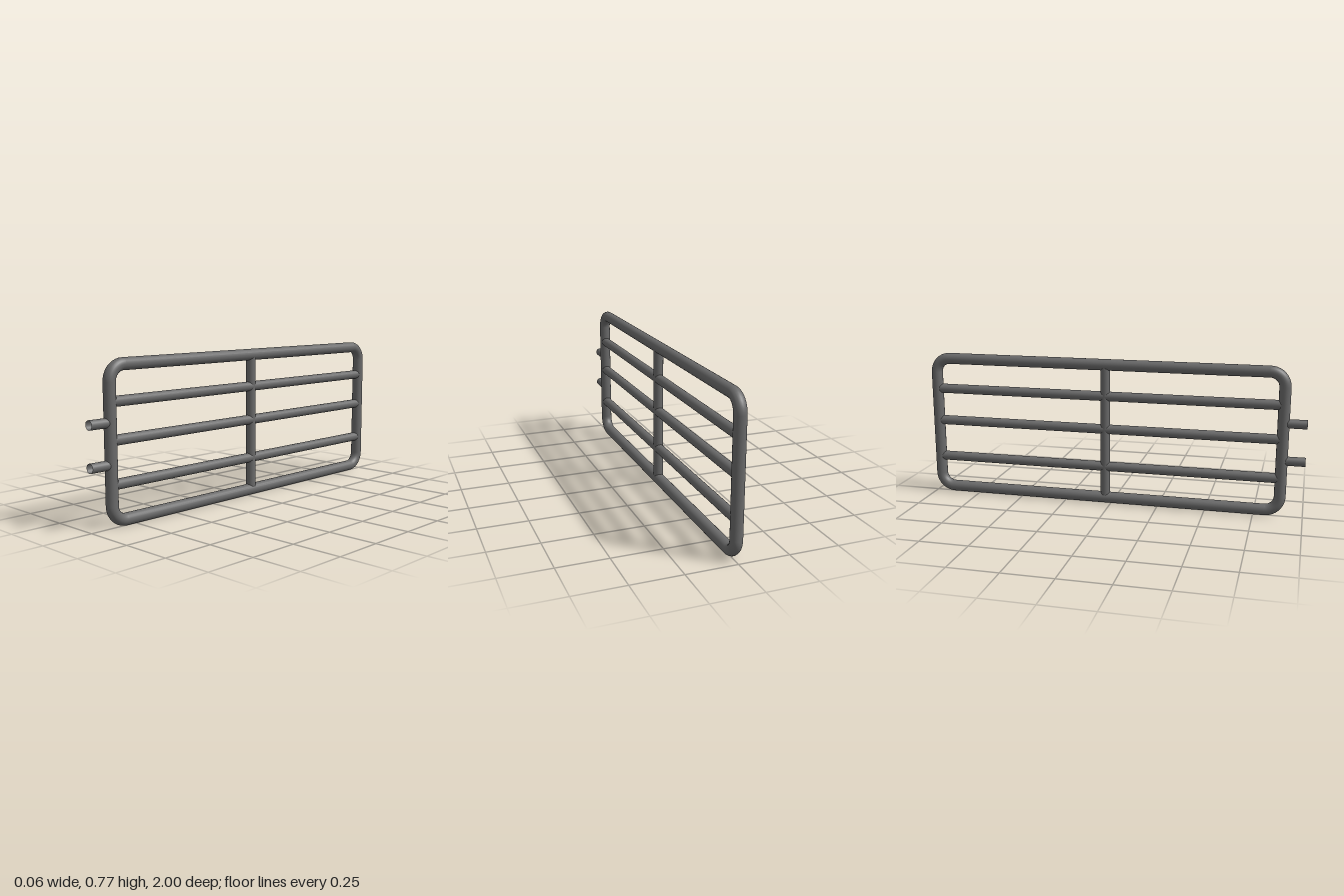
import * as THREE from 'three';

export function createModel() {
  const gate = new THREE.Group();
  gate.name = 'gate';
  const color = 0x6a6a6a;
  const steel = new THREE.MeshStandardMaterial({ color });
  const openSteel = new THREE.MeshStandardMaterial({ color, side: THREE.DoubleSide });

  // Centre line of the outer frame in the z-y plane
  const R = 0.0295, bend = 0.075;
  const z0 = -1 + R, z1 = 0.912 - R, y0 = R, y1 = 0.775 - R;

  // Sweep a ring around the rounded rectangle: each corner arc is followed by a straight run
  const corners = [
    [z1 - bend, y1 - bend, 0], [z0 + bend, y1 - bend, 1],
    [z0 + bend, y0 + bend, 2], [z1 - bend, y0 + bend, 3],
  ];
  const bendSteps = 10, sides = 24;
  const positions = [], normals = [], index = [];
  let rings = 0;
  for (const [cz, cy, quarter] of corners) {
    for (let i = 0; i <= bendSteps; i++, rings++) {
      const a = (quarter + i / bendSteps) * Math.PI / 2;
      for (let j = 0; j <= sides; j++) {
        const b = j / sides * Math.PI * 2;
        const reach = bend + R * Math.cos(b);
        positions.push(R * Math.sin(b), cy + reach * Math.sin(a), cz + reach * Math.cos(a));
        normals.push(Math.sin(b), Math.cos(b) * Math.sin(a), Math.cos(b) * Math.cos(a));
      }
    }
  }
  const row = sides + 1;
  for (let i = 0; i < rings; i++) {
    const n = (i + 1) % rings;
    for (let j = 0; j < sides; j++) {
      const a = i * row + j, b = n * row + j;
      index.push(a, a + 1, b, b, a + 1, b + 1);
    }
  }
  const frameGeometry = new THREE.BufferGeometry();
  frameGeometry.setAttribute('position', new THREE.Float32BufferAttribute(positions, 3));
  frameGeometry.setAttribute('normal', new THREE.Float32BufferAttribute(normals, 3));
  // Wind the faces outwards
  for (let k = 0; k < index.length; k += 3) {
    const [p, q, r] = [0, 1, 2].map(m => new THREE.Vector3().fromArray(positions, index[k + m] * 3));
    const face = q.sub(p).cross(r.sub(p));
    if (face.dot(new THREE.Vector3().fromArray(normals, index[k] * 3)) < 0) {
      [index[k + 1], index[k + 2]] = [index[k + 2], index[k + 1]];
    }
  }
  frameGeometry.setIndex(index);
  const frame = new THREE.Mesh(frameGeometry, steel);
  frame.name = 'outerFrame';
  gate.add(frame);

  // Straight open tube, upright or lying along z
  function tube(name, radius, length, y, z, lying, material) {
    const geometry = new THREE.CylinderGeometry(radius, radius, length, 24, 1, true);
    if (lying) geometry.rotateX(Math.PI / 2);
    const mesh = new THREE.Mesh(geometry, material);
    mesh.name = name;
    mesh.position.set(0, y, z);
    gate.add(mesh);
  }

  // Horizontal rails and the middle upright, ending inside the frame
  [0.201, 0.404, 0.58].forEach((y, i) =>
    tube('rail' + (i + 1), 0.025, z1 - z0, y, (z0 + z1) / 2, true, steel));
  tube('middleUpright', 0.025, y1 - y0, (y0 + y1) / 2, -0.031, false, steel);

  // Hollow hinge stubs on the front post
  [0.294, 0.487].forEach((y, i) =>
    tube('hingeStub' + (i + 1), 0.023, 1 - z1, y, (1 + z1) / 2, true, openSteel));

  return gate;
}
